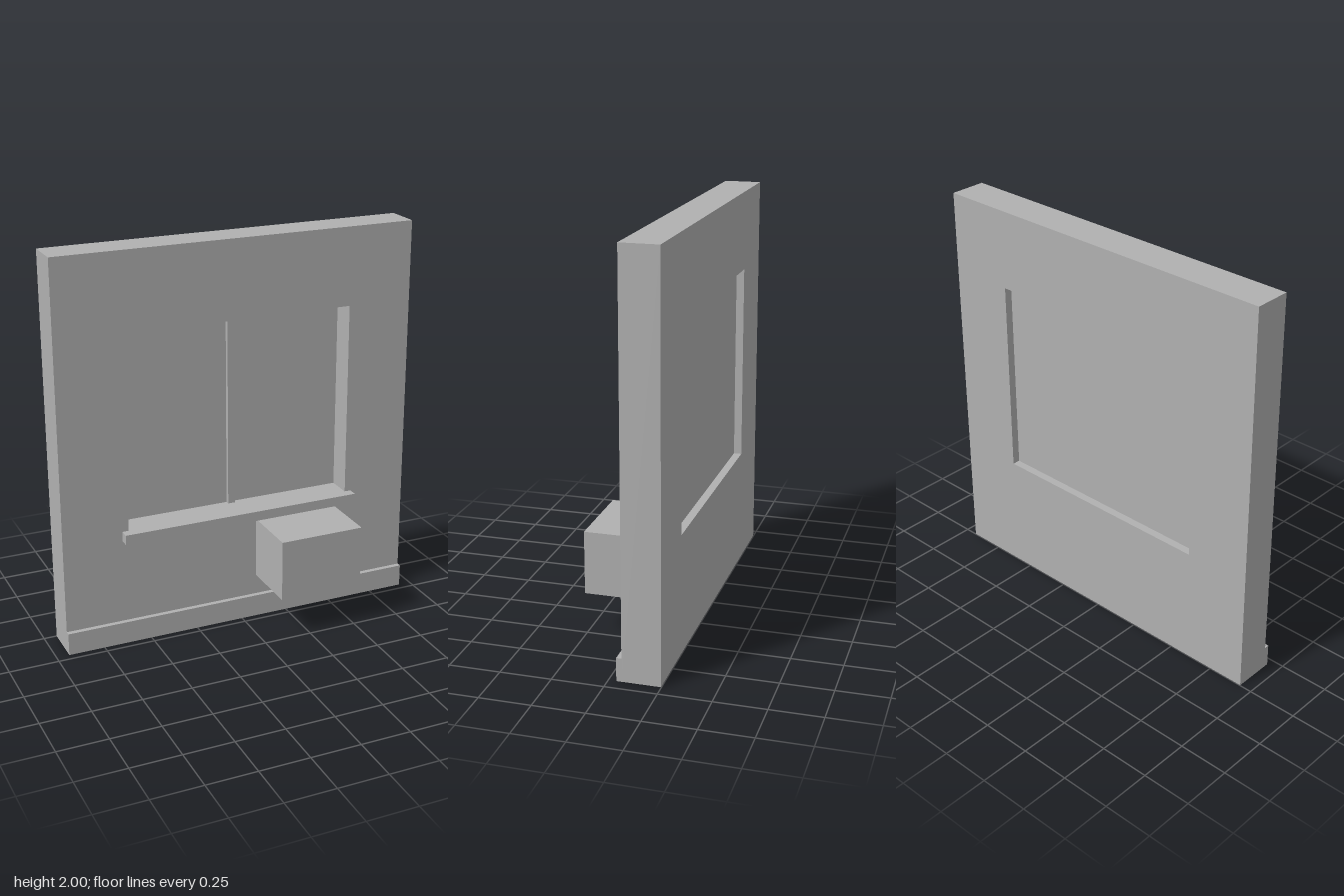
import * as THREE from 'three';

const grey = new THREE.MeshStandardMaterial({ color: 0xb0b0b0 });
grey.name = 'plain grey';

// Box given by its lower and upper limits on each axis
function block(name, [x0, x1], [y0, y1], [z0, z1]) {
  const mesh = new THREE.Mesh(new THREE.BoxGeometry(x1 - x0, y1 - y0, z1 - z0), grey);
  mesh.position.set((x0 + x1) / 2, (y0 + y1) / 2, (z0 + z1) / 2);
  mesh.name = name;
  return mesh;
}

export function createModel() {
  const model = new THREE.Group();
  model.name = 'wallWithWindow';
  const back = -0.248, face = -0.063, half = 0.935, open = 0.597;

  // Wall with a rectangular window opening
  const outline = new THREE.Shape();
  outline.moveTo(-half, 0).lineTo(half, 0).lineTo(half, 2).lineTo(-half, 2).closePath();
  const hole = new THREE.Path();
  hole.moveTo(-open, 0.6).lineTo(-open, 1.6).lineTo(open, 1.6).lineTo(open, 0.6).closePath();
  outline.holes.push(hole);
  const wall = new THREE.Mesh(
    new THREE.ExtrudeGeometry(outline, { depth: face - back, bevelEnabled: false }), grey);
  wall.position.z = back;
  wall.name = 'wall';
  model.add(wall);

  // Window pane set deep in the opening, with its centre bar
  model.add(block('windowPane', [-open, open], [0.6, 1.6], [-0.208, -0.19]));
  model.add(block('windowMullion', [-0.019, 0.019], [0.6, 1.6], [-0.19, -0.168]));

  // Trim on the front of the wall
  model.add(block('windowSill', [-0.63, 0.63], [0.55, 0.6], [face, -0.013]));
  model.add(block('baseboard', [-half, half], [0, 0.115], [face, -0.038]));

  // Box mounted below the sill
  model.add(block('wallBox', [0.09, 0.53], [0.22, 0.535], [face, 0.248]));
  return model;
}
